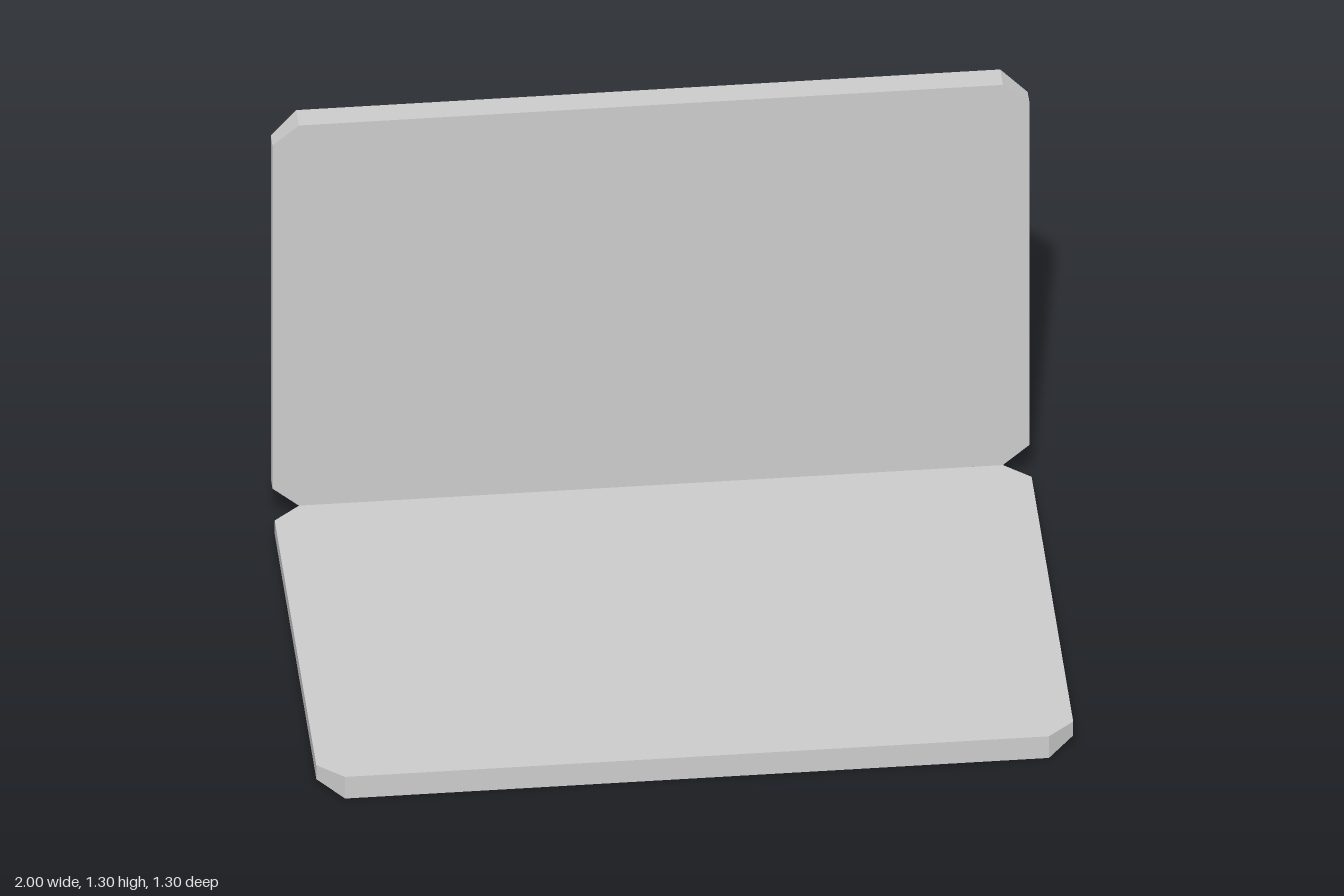
import * as THREE from 'three';
import { toCreasedNormals } from 'three/addons/utils/BufferGeometryUtils.js';

const THICK = 0.07;
const RISE = 0.025; // how far the outer ends of the underside are lifted

// Corner-cut outline as [x, z]
const outline = [
  [1, 0.59], [0.93, 0.65], [-0.93, 0.65], [-1, 0.59],
  [-1, -0.52], [-0.93, -0.58], [0.93, -0.58], [1, -0.52],
];

// Underside facets: straight side bevels, or facets folded along the diagonal
const straightFacets = [[0, 1, 7], [1, 6, 7], [1, 2, 5], [1, 5, 6], [2, 3, 4], [2, 4, 5]];
const diagonalFacets = [[0, 6, 7], [0, 5, 6], [0, 1, 5], [1, 4, 5], [1, 2, 4], [2, 3, 4]];

// Flat slab with cut corners and a lifted underside at both ends
function slab(name, facets) {
  const top = outline.map(([x, z]) => [x, THICK, z]);
  const bottom = outline.map(([x, z]) => [x, Math.abs(x) > 0.95 ? RISE : 0, z]);
  const positions = [];
  const tri = (...corners) => corners.forEach((c) => positions.push(...c));

  for (const [a, b, c] of facets) tri(bottom[a], bottom[b], bottom[c]);
  for (let i = 1; i < 7; i++) tri(top[0], top[i + 1], top[i]);
  for (let i = 0; i < 8; i++) {
    const j = (i + 1) % 8;
    tri(bottom[j], bottom[i], top[i]);
    tri(bottom[j], top[i], top[j]);
  }

  const geometry = new THREE.BufferGeometry();
  geometry.setAttribute('position', new THREE.Float32BufferAttribute(positions, 3));
  const mesh = new THREE.Mesh(
    toCreasedNormals(geometry, 0.5),
    new THREE.MeshStandardMaterial({ color: 0xcccccc }),
  );
  mesh.name = name;
  return mesh;
}

export function createModel() {
  const model = new THREE.Group();
  model.name = 'openLaptop';

  // Base lying flat
  model.add(slab('base', diagonalFacets));

  // Screen lid standing upright along the back edge
  const lid = slab('screenLid', straightFacets);
  lid.rotation.x = Math.PI / 2;
  lid.position.set(0, 0.72, -0.65);
  model.add(lid);

  return model;
}
